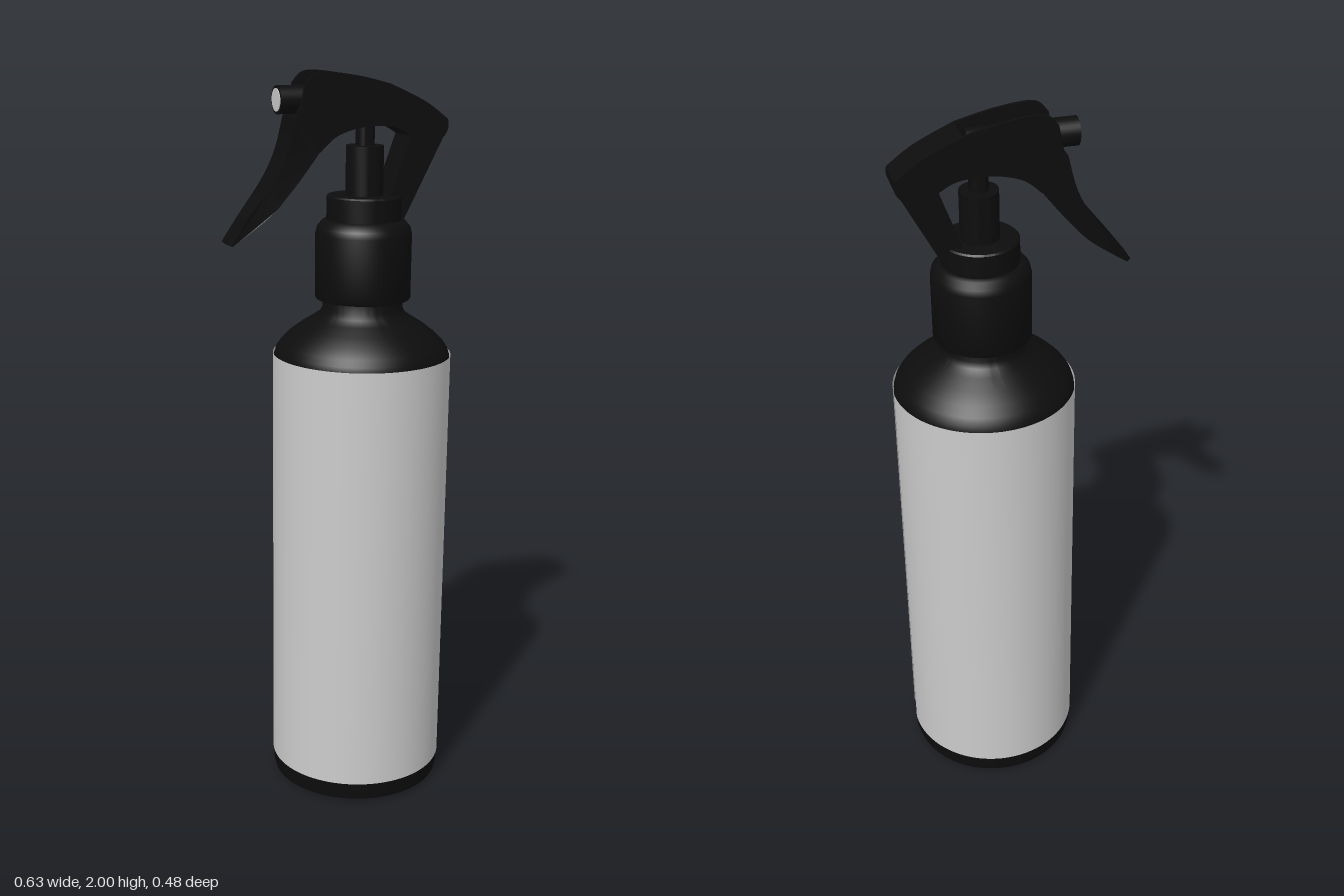
import * as THREE from 'three';
import { toCreasedNormals } from 'three/addons/utils/BufferGeometryUtils.js';

const black = new THREE.MeshStandardMaterial({ color: 0x0d0d0d });
const grey = new THREE.MeshStandardMaterial({ color: 0xcccccc });
const labelGrey = new THREE.MeshStandardMaterial({ color: 0xcccccc, side: THREE.DoubleSide });

function part(name, geometry, material = black) {
  const mesh = new THREE.Mesh(geometry, material);
  mesh.name = name;
  return mesh;
}

// Turned part from [radius, height] pairs, bottom to top
function turned(name, pairs, segments = 64) {
  const points = pairs.map(([r, y]) => new THREE.Vector2(r, y));
  return part(name, toCreasedNormals(new THREE.LatheGeometry(points, segments), 0.6));
}

// Side-profile plate spanning z0..z1; halfWidth(x) optionally tapers it
function plate(name, shape, z0, z1, halfWidth) {
  const g = new THREE.ExtrudeGeometry(shape, { depth: z1 - z0, bevelEnabled: false, curveSegments: 10 });
  g.translate(0, 0, z0);
  if (halfWidth) {
    const p = g.attributes.position;
    for (let i = 0; i < p.count; i++) p.setZ(i, Math.sign(p.getZ(i)) * halfWidth(p.getX(i)));
  }
  return part(name, toCreasedNormals(g, 0.5));
}

const vectors = (pairs) => pairs.map(([x, y]) => new THREE.Vector2(x, y));

// Head outline: the top edge varies, the arched underside is shared
function headShape(topEdge) {
  const s = new THREE.Shape();
  s.moveTo(0.28, 1.825);
  s.quadraticCurveTo(0.3, 1.845, 0.293, 1.872);
  s.splineThru(vectors([[0.225, 1.92], [0.125, 1.967]]));
  topEdge(s);
  s.lineTo(-0.13, 1.875);
  s.lineTo(-0.07, 1.80);
  s.splineThru(vectors([[-0.02, 1.84], [0.06, 1.86], [0.14, 1.855], [0.19, 1.83]]));
  s.closePath();
  return s;
}

function buildBottle() {
  const bottle = new THREE.Group();
  bottle.name = 'bottle';

  // Body with recessed base, rounded shoulder and neck
  bottle.add(turned('bottleBody', [
    [0, 0.02], [0.19, 0.02], [0.205, 0], [0.225, 0], [0.235, 0.006], [0.239, 0.02],
    [0.239, 1.245], [0.234, 1.262], [0.222, 1.28], [0.2, 1.302], [0.17, 1.325],
    [0.138, 1.345], [0.116, 1.36], [0.108, 1.375], [0.108, 1.41],
  ], 96));

  // Wrapped label with a narrow gap on the left side
  const gap = 0.21;
  bottle.add(part('label', new THREE.CylinderGeometry(0.242, 0.242, 1.195, 96, 1, true,
    Math.PI / 2, Math.PI * 2 - gap), labelGrey));
  bottle.getObjectByName('label').position.y = 0.6525;

  // Screw collar and the ring above it
  bottle.add(turned('collar', [
    [0.1, 1.4], [0.126, 1.4], [0.129, 1.405], [0.129, 1.575], [0.125, 1.592],
    [0.112, 1.608], [0.1, 1.612], [0.1, 1.672], [0.096, 1.676], [0, 1.676],
  ]));

  // Pump stem and plunger
  bottle.add(turned('pumpStem', [
    [0.05, 1.67], [0.05, 1.805], [0.025, 1.805], [0.025, 1.88],
  ], 32));

  bottle.position.set(0.055, 0.003, 0);
  bottle.rotation.z = -0.0125;
  return bottle;
}

function buildSprayHead() {
  const head = new THREE.Group();
  head.name = 'sprayHead';

  // Side walls rise above the channel that holds the nozzle tube
  const wallShape = headShape((s) => s.splineThru(vectors([
    [0.04, 1.988], [-0.045, 2.0], [-0.085, 1.995], [-0.11, 1.97],
  ])));
  const coreShape = headShape((s) => {
    s.lineTo(0.115, 1.93);
    s.lineTo(-0.12, 1.925);
  });
  head.add(plate('headCore', coreShape, -0.042, 0.042));
  head.add(plate('headWallLeft', wallShape, 0.04, 0.049));
  head.add(plate('headWallRight', wallShape, -0.049, -0.04));

  // Nozzle tube with a pale outlet
  const tube = part('nozzleTube', new THREE.CylinderGeometry(0.036, 0.036, 0.28, 32));
  tube.rotation.z = Math.PI / 2;
  tube.position.set(-0.03, 1.931, 0);
  const outlet = part('nozzleOutlet', new THREE.CylinderGeometry(0.029, 0.029, 0.006, 32), grey);
  outlet.rotation.z = Math.PI / 2;
  outlet.position.set(-0.169, 1.931, 0);
  head.add(tube, outlet);

  // Curved trigger, narrowing toward its tip
  const trigger = new THREE.Shape();
  trigger.moveTo(-0.1, 1.9);
  trigger.lineTo(-0.135, 1.89);
  trigger.splineThru(vectors([[-0.16, 1.8], [-0.2, 1.725], [-0.265, 1.642], [-0.315, 1.577]]));
  trigger.lineTo(-0.306, 1.57);
  trigger.splineThru(vectors([[-0.2, 1.65], [-0.135, 1.72], [-0.07, 1.802]]));
  trigger.closePath();
  head.add(plate('trigger', trigger, -0.05, 0.05, (x) => {
    const t = THREE.MathUtils.clamp((-0.14 - x) / 0.175, 0, 1);
    return 0.0485 - 0.02 * t * t;
  }));

  // Rear strut joining the head to the collar
  const strut = new THREE.Shape(vectors([
    [0.285, 1.835], [0.165, 1.61], [0.11, 1.61], [0.13, 1.68], [0.19, 1.84],
  ]));
  head.add(plate('rearStrut', strut, -0.049, 0.049));

  head.position.z = 0.003;
  return head;
}

export function createModel() {
  const model = new THREE.Group();
  model.name = 'sprayBottle';
  model.add(buildBottle(), buildSprayHead());
  return model;
}
